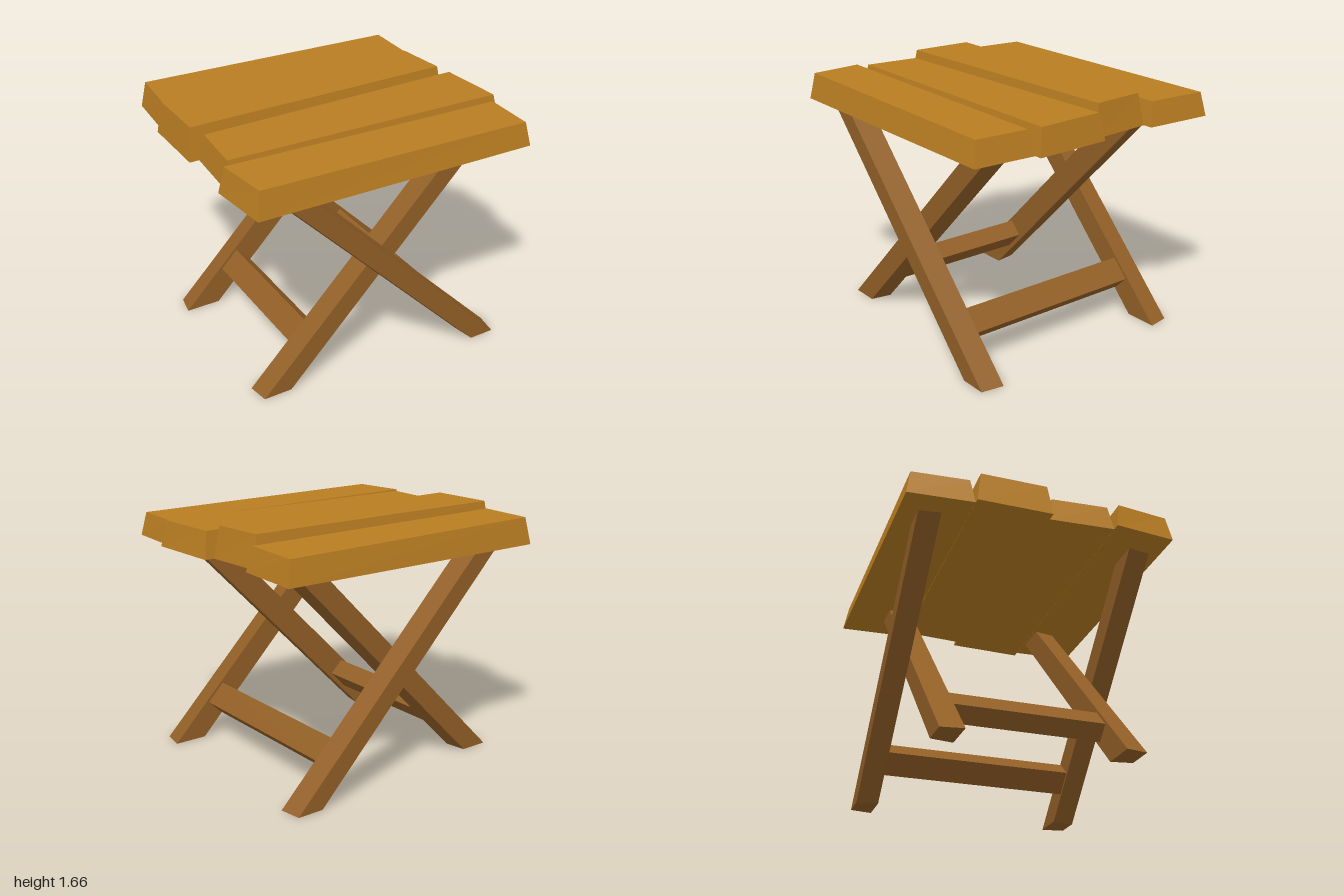
import * as THREE from 'three';

const TOP_Y = 1.45; // underside of the planks

// Six-sided block from a lower and an upper ring of corners,
// ordered back-left, back-right, front-right, front-left.
function block(low, high) {
  const pos = [];
  const quad = (a, b, c, d) => [a, b, c, a, c, d].forEach((p) => pos.push(...p));
  quad(...low);
  quad(high[3], high[2], high[1], high[0]);
  for (let i = 0; i < 4; i++) {
    const j = (i + 1) % 4;
    quad(low[j], low[i], high[i], high[j]);
  }
  const geo = new THREE.BufferGeometry();
  geo.setAttribute('position', new THREE.Float32BufferAttribute(pos, 3));
  geo.computeVertexNormals();
  return geo;
}

// Uneven plank: footprint corners [x, z], inset at the top, heights at both ends
function plank(corners, hLeft, hRight) {
  const inset = 0.029;
  const low = corners.map(([x, z]) => [x, TOP_Y, z]);
  const high = corners.map(([x, z], i) => {
    const right = i === 1 || i === 2;
    return [x + (right ? -inset : inset), right ? hRight : hLeft, z + (i < 2 ? inset : -inset)];
  });
  return block(low, high);
}

// Slanted leg whose outward side (away from the middle) is a little narrower
function leg(foot, head, zMin, zMax) {
  const inset = 0.024;
  const ring = ([x0, x1], y) => {
    const b = zMin < 0 ? inset : 0;
    const f = zMin < 0 ? 0 : inset;
    return [[x0 + b, y, zMin], [x1 - b, y, zMin], [x1 - f, y, zMax], [x0 + f, y, zMax]];
  };
  return block(ring(foot, 0), ring(head, TOP_Y));
}

export function createModel() {
  const group = new THREE.Group();
  const plankWood = new THREE.MeshStandardMaterial({ name: 'plankWood', color: 0xb97d22 });
  const legWood = new THREE.MeshStandardMaterial({ name: 'legWood', color: 0x925f26 });
  const add = (name, geo, mat) => {
    const mesh = new THREE.Mesh(geo, mat);
    mesh.name = name;
    group.add(mesh);
    return mesh;
  };

  // Seat planks, from back to front
  const planks = [
    [[[-0.92, -0.9], [0.98, -0.9], [0.955, -0.435], [-0.95, -0.47]], 1.625, 1.605],
    [[[-0.985, -0.47], [0.89, -0.433], [0.917, -0.02], [-0.985, 0.027]], 1.665, 1.655],
    [[[-0.922, 0.025], [0.98, -0.025], [1, 0.487], [-0.95, 0.455]], 1.625, 1.62],
    [[[-1, 0.455], [0.95, 0.487], [0.928, 0.895], [-0.957, 0.866]], 1.625, 1.605],
  ];
  planks.forEach((p, i) => add(`seatPlank${i + 1}`, plank(...p), plankWood));

  // Crossed legs: the outer ones run down to the left, the inner ones to the right
  const outer = [[0.645, 0.87], [-0.775, -0.555]];
  const inner = [[-0.87, -0.63], [0.555, 0.79]];
  add('frontOuterLeg', leg(...outer, 0.645, 0.795), legWood);
  add('frontInnerLeg', leg(...inner, 0.5, 0.64), legWood);
  add('backOuterLeg', leg(...outer, -0.78, -0.636), legWood);
  add('backInnerLeg', leg(...inner, -0.636, -0.49), legWood);

  // Stretchers joining each pair of parallel legs
  const stretcher = (name, side, y, length) => {
    const mesh = add(name, new THREE.BoxGeometry(0.17, 0.125, length), legWood);
    mesh.position.set(side * (0.757 - 0.98 * y), y, 0.005);
    mesh.rotation.z = -side * 0.795;
  };
  stretcher('outerStretcher', 1, 0.265, 1.29);
  stretcher('innerStretcher', -1, 0.28, 1.0);

  return group;
}
